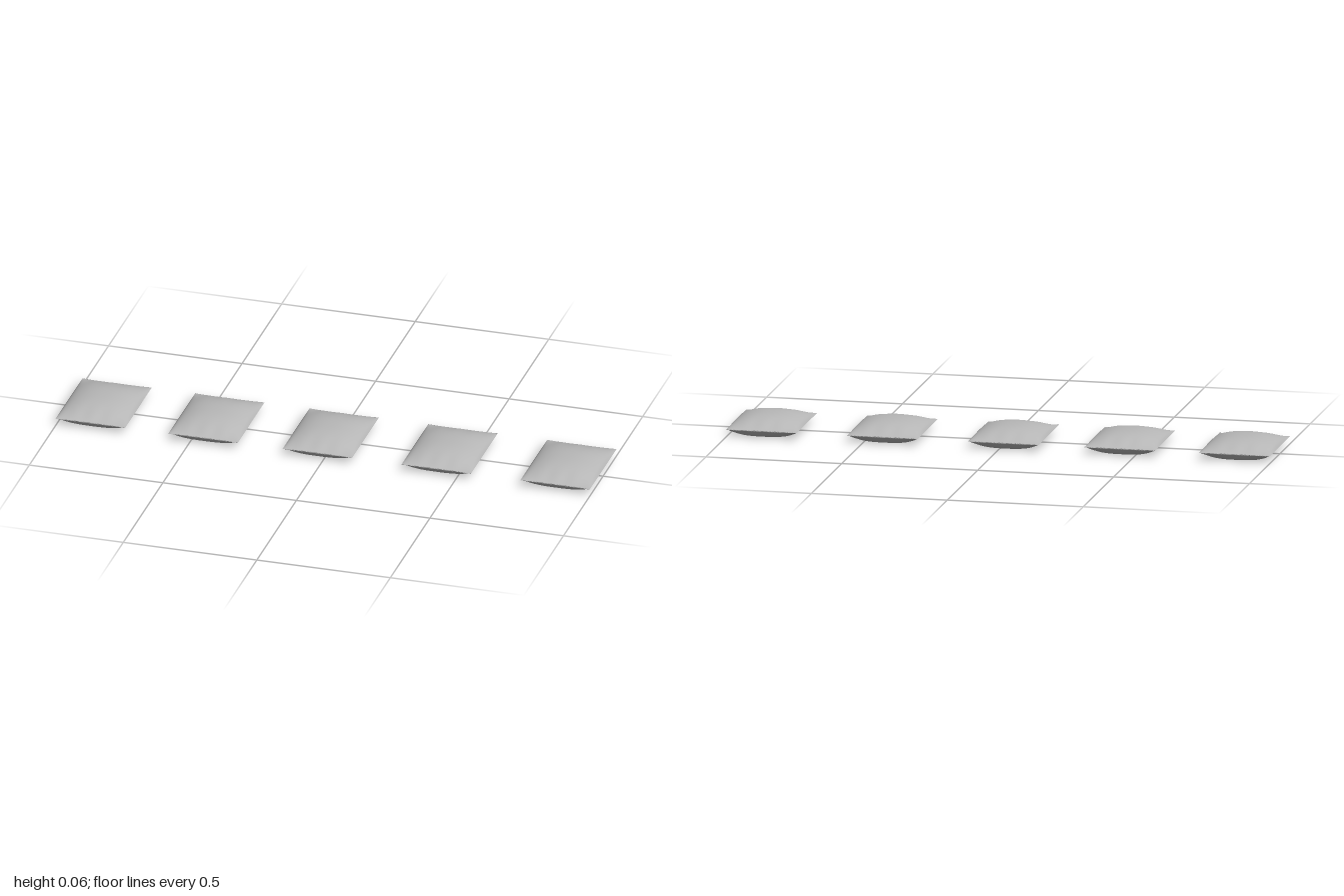
import * as THREE from 'three';

const HALF_W = 0.13, HALF_L = 0.169, SEAM_Y = 0.028;
const COLS = 48, ROWS = 36;

// Depth of the underside from the middle (0) to the sealed end (1): deepest near the end.
const bellyCurve = [[0, 0.018], [0.3, 0.0195], [0.6, 0.024], [0.76, 0.0275], [0.83, 0.026], [0.91, 0.019], [1, 0]];
function bellyDepth(v) {
  const k = bellyCurve.findIndex(p => p[0] >= v);
  if (k <= 0) return bellyCurve[0][1];
  const [v0, d0] = bellyCurve[k - 1], [v1, d1] = bellyCurve[k];
  return d0 + (d1 - d0) * (v - v0) / (v1 - v0);
}

// Height of the film above (side 1) or below (side -1) the seam
function filmHeight(u, v, side) {
  const a = Math.min(1, Math.abs(u)), b = Math.min(1, Math.abs(v));
  if (side < 0) return -bellyDepth(b) * Math.pow(1 - a ** 3, 0.8);
  const puff = 0.037 * Math.pow(1 - a ** 2.3, 0.65) * (1 - b ** 2.6);
  // small gathers running in from the sealed ends
  const gather = 0.0012 * Math.cos(u * 12) * b ** 4 * (1 - b) * 6 * (1 - a * a);
  return puff + gather;
}

// One half of the packet: a grid bulged away from the seam, with toothed ends
function filmGeometry(side) {
  const pos = [], index = [];
  for (let j = 0; j <= ROWS; j++) {
    const v = Math.sin((j / ROWS - 0.5) * Math.PI);
    for (let i = 0; i <= COLS; i++) {
      const u = (i / COLS) * 2 - 1;
      const atEnd = j === 0 || j === ROWS;
      const tooth = atEnd && i % 2 ? -0.005 : 0;
      const endSag = 0.004 * (1 - u ** 4);
      const z = v * (HALF_L - endSag + tooth + 0.002);
      pos.push(u * HALF_W, SEAM_Y + (atEnd ? 0 : filmHeight(u, v, side)), z);
    }
  }
  const n = COLS + 1;
  for (let j = 0; j < ROWS; j++) for (let i = 0; i < COLS; i++) {
    const a = j * n + i, b = a + n, c = a + 1, d = b + 1;
    if (side > 0) index.push(a, b, c, c, b, d);
    else index.push(a, c, b, c, d, b);
  }
  const g = new THREE.BufferGeometry();
  g.setAttribute('position', new THREE.Float32BufferAttribute(pos, 3));
  g.setIndex(index);
  g.computeVertexNormals();
  return g;
}

export function createModel() {
  const model = new THREE.Group();
  model.name = 'packetRow';
  const film = new THREE.MeshStandardMaterial({ color: 0xb8b8b8 });
  film.name = 'greyFilm';
  const topGeo = filmGeometry(1), bottomGeo = filmGeometry(-1);

  // Five identical pillow packets in a row
  [-0.87, -0.448, -0.02, 0.425, 0.87].forEach((x, k) => {
    const packet = new THREE.Group();
    packet.name = `packet${k + 1}`;
    const top = new THREE.Mesh(topGeo, film);
    top.name = 'topFilm';
    const bottom = new THREE.Mesh(bottomGeo, film);
    bottom.name = 'bottomFilm';
    packet.add(top, bottom);
    packet.position.x = x;
    model.add(packet);
  });
  return model;
}
